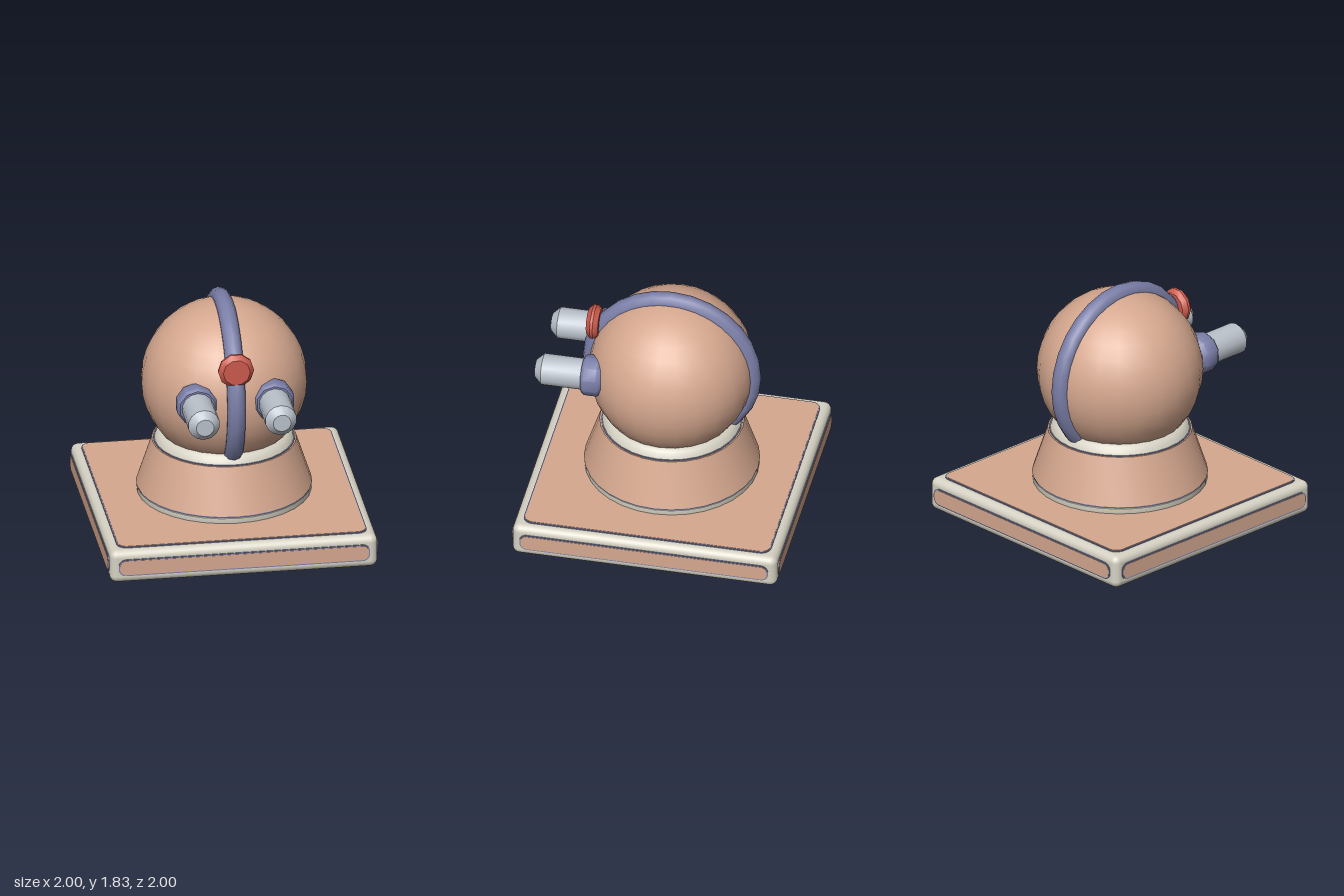
import * as THREE from 'three';
import { RoundedBoxGeometry } from 'three/addons/geometries/RoundedBoxGeometry.js';
import { toCreasedNormals } from 'three/addons/utils/BufferGeometryUtils.js';

function material(name, color) {
  const m = new THREE.MeshStandardMaterial({ color });
  m.name = name;
  return m;
}

export function createModel() {
  const model = new THREE.Group();
  const tan = material('tan', 0xd6a88f);
  const cream = material('cream', 0xd6d2c4);
  const blue = material('slate blue', 0x7b7fa8);
  const grey = material('light grey', 0xbac1ca);
  const red = material('red', 0xcc5a4c);

  function add(parent, name, geometry, mat, x = 0, y = 0, z = 0) {
    const mesh = new THREE.Mesh(geometry, mat);
    mesh.name = name;
    mesh.position.set(x, y, z);
    parent.add(mesh);
    return mesh;
  }

  // Turned part with crisp edges between its profile sections
  function turned(points, sides) {
    const profile = points.map(([r, y]) => new THREE.Vector2(r, y));
    return toCreasedNormals(new THREE.LatheGeometry(profile, sides), 0.65);
  }

  // Flat plate with rounded corners, facing +z
  function plate(w, h, r, depth) {
    const s = new THREE.Shape();
    const x = w / 2, y = h / 2;
    s.moveTo(-x + r, -y);
    s.lineTo(x - r, -y);
    s.absarc(x - r, -y + r, r, -Math.PI / 2, 0);
    s.lineTo(x, y - r);
    s.absarc(x - r, y - r, r, 0, Math.PI / 2);
    s.lineTo(-x + r, y);
    s.absarc(-x + r, y - r, r, Math.PI / 2, Math.PI);
    s.lineTo(-x, -y + r);
    s.absarc(-x + r, -y + r, r, Math.PI, Math.PI * 1.5);
    return new THREE.ExtrudeGeometry(s, { depth, bevelEnabled: false, curveSegments: 5 });
  }

  // Square base with an outlined panel on every face
  const base = new THREE.Group();
  base.name = 'base';
  base.position.y = 0.138;
  model.add(base);
  add(base, 'baseBlock', new RoundedBoxGeometry(1.98, 0.255, 1.98, 3, 0.055), cream);

  function panel(name, w, h, r, distance, rx, ry) {
    const g = new THREE.Group();
    g.name = name;
    g.rotation.set(rx, ry, 0);
    add(g, 'panelTrim', plate(w, h, r, 0.009), blue, 0, 0, distance - 0.012);
    add(g, 'panelFace', plate(w - 0.018, h - 0.018, r - 0.009, 0.009), tan, 0, 0, distance - 0.009);
    base.add(g);
  }
  ['frontPanel', 'leftPanel', 'backPanel', 'rightPanel'].forEach((name, i) =>
    panel(name, 1.86, 0.13, 0.055, 1, 0, i * Math.PI / 2));
  panel('topPanel', 1.85, 1.85, 0.075, 0.138, -Math.PI / 2, 0);
  panel('bottomPanel', 1.85, 1.85, 0.075, 0.138, Math.PI / 2, 0);

  // Tapered pedestal with rings at foot and neck
  add(model, 'footRing', turned([[0, 0.265], [0.635, 0.265], [0.64, 0.28], [0.64, 0.315], [0.63, 0.328], [0, 0.328]], 32), cream);
  add(model, 'footTrim', turned([[0, 0.322], [0.642, 0.322], [0.642, 0.335], [0, 0.335]], 32), blue);
  add(model, 'pedestal', turned([[0, 0.333], [0.645, 0.333], [0.53, 0.682], [0, 0.682]], 32), tan);
  add(model, 'neckTrim', turned([[0, 0.68], [0.52, 0.68], [0.52, 0.688], [0, 0.688]], 32), blue);
  add(model, 'neckRing', turned([[0, 0.686], [0.512, 0.686], [0.502, 0.712], [0.482, 0.738], [0.455, 0.755], [0.4, 0.755]], 32), cream);

  // Ball head and the hoop around it
  add(model, 'head', new THREE.SphereGeometry(0.61, 24, 18), tan, 0, 1.155, 0);
  add(model, 'hoop', new THREE.TorusGeometry(0.598, 0.07, 10, 28), blue, 0, 1.16, 0).rotation.y = Math.PI / 2;

  // Pair of barrel eyes
  for (const side of [-1, 1]) {
    const eye = new THREE.Group();
    eye.name = side > 0 ? 'leftEye' : 'rightEye';
    eye.position.set(side * 0.285, 1.205, 0);
    eye.rotation.x = Math.PI / 2;
    model.add(eye);
    add(eye, 'eyeSocket', turned([[0, 0.45], [0.125, 0.45], [0.152, 0.485], [0.152, 0.58], [0.135, 0.602], [0, 0.602]], 10), blue);
    add(eye, 'eyeBarrel', turned([[0, 0.5], [0.118, 0.5], [0.118, 0.9], [0.066, 0.955], [0, 0.955]], 14), grey);
  }

  // Round button on the forehead
  const button = add(model, 'foreheadButton',
    turned([[0, 0.535], [0.105, 0.535], [0.133, 0.57], [0.133, 0.59], [0.1, 0.625], [0, 0.625]], 10),
    red, 0, 1.48, 0);
  button.rotation.set(Math.PI / 2, Math.PI / 2, 0, 'XYZ');

  return model;
}
